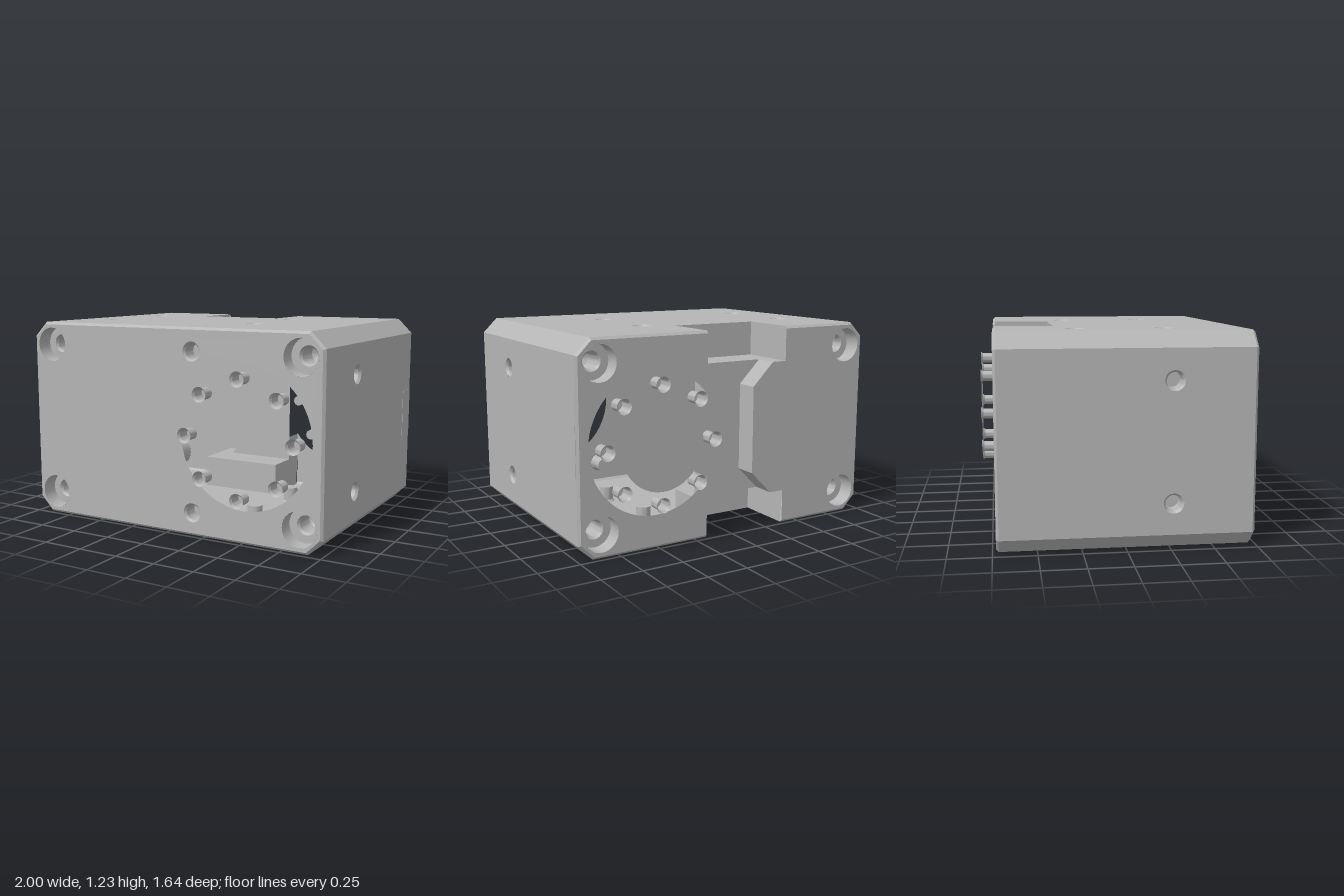
import * as THREE from 'three';
import { toCreasedNormals } from 'three/addons/utils/BufferGeometryUtils.js';

const H = 1.23, Z = 0.73, ZB = 0.715;      // height, half depth, depth at edge bevel
const HUB = { x: 0.515, y: 0.617, r: 0.42 };
const N0 = -0.39, N1 = 0.17, NZ = -0.37, PZ = -0.59;   // rear notch limits
const LEDGE = 1.02;
const flip = y => H - y;

export function createModel() {
  const model = new THREE.Group();
  const metal = new THREE.MeshStandardMaterial({ color: 0xb5b5b5, side: THREE.DoubleSide });
  metal.name = 'grey metal';

  const add = (name, geo) => {
    const mesh = new THREE.Mesh(geo, metal);
    mesh.name = name;
    model.add(mesh);
    return mesh;
  };

  // flat panel: 2D shape with round holes [u, v, r], placed by a mapping to 3D
  const panel = (name, shape, holes, map) => {
    if (Array.isArray(shape)) shape = new THREE.Shape(shape.map(p => new THREE.Vector2(...p)));
    for (const [u, v, r] of holes) {
      const hole = new THREE.Path();
      hole.absarc(u, v, r, 0, Math.PI * 2, true);
      shape.holes.push(hole);
    }
    const geo = new THREE.ShapeGeometry(shape, 24);
    const pos = geo.attributes.position;
    for (let i = 0; i < pos.count; i++) pos.setXYZ(i, ...map(pos.getX(i), pos.getY(i)));
    // keep the front side outward
    geo.computeVertexNormals();
    return add(name, geo);
  };

  const quad = (name, a, b, c, d) => {
    const geo = new THREE.BufferGeometry();
    geo.setAttribute('position', new THREE.Float32BufferAttribute([a, b, c, a, c, d].flat(), 3));
    geo.computeVertexNormals();
    return add(name, geo);
  };

  // blind hole sunk along -normal; profile is [radius, depth] from the rim
  const sink = (name, profile, at, normal) => {
    const pts = profile.map(([r, d]) => new THREE.Vector2(r, -d));
    const mesh = add(name, toCreasedNormals(new THREE.LatheGeometry(pts, 28), 0.5));
    mesh.position.set(...at);
    mesh.quaternion.setFromUnitVectors(new THREE.Vector3(0, 1, 0), new THREE.Vector3(...normal));
  };
  const threaded = [[0.058, 0], [0.046, 0.014], [0.046, 0.1], [0, 0.1]];
  const hornHole = [[0.045, 0], [0.034, 0.014], [0.034, 0.09], [0, 0.09]];
  const counterbore = [[0.105, 0], [0.105, 0.1], [0.058, 0.1], [0.046, 0.115], [0.046, 0.24], [0, 0.27]];

  // octagonal outlines: full section and the bevelled end face
  const octagon = (x, y0, y1, cx, cy) => [
    [cx, y1], [x, y1 - cy], [x, y0 + cy], [cx, y0], [-cx, y0], [-x, y0 + cy], [-x, y1 - cy], [-cx, y1]];
  const outer = octagon(1, 0, H, 0.91, 0.09);
  const inner = octagon(0.985, 0.015, H - 0.015, 0.904, 0.081);

  // top and bottom walls with the rear notch
  const topOutline = [[-0.91, ZB], [0.91, ZB], [0.91, -ZB], [N1, -ZB], [N1, NZ], [N0, NZ], [N0, -ZB], [-0.91, -ZB]];
  const topHoles = [-0.69, 0.34].flatMap(x => [-0.26, 0.26].map(z => [x, z]));
  const holed = list => list.map(([u, v]) => [u, v, 0.058]);
  panel('topWall', topOutline, holed(topHoles), (x, z) => [x, H, z]);
  panel('bottomWall', topOutline, holed(topHoles), (x, z) => [x, 0, z]);
  for (const [x, z] of topHoles) {
    sink('topThreadedHole', threaded, [x, H, z], [0, 1, 0]);
    sink('bottomThreadedHole', threaded, [x, 0, z], [0, -1, 0]);
  }

  // side walls
  const sideOutline = [[-ZB, 0.09], [ZB, 0.09], [ZB, H - 0.09], [-ZB, H - 0.09]];
  const sideHoles = [[0.26, 0.27], [0.26, 0.96]];
  for (const s of [-1, 1]) {
    panel(s > 0 ? 'leftWall' : 'rightWall', sideOutline, holed(sideHoles), (z, y) => [s, y, z]);
    for (const [z, y] of sideHoles) sink('sideThreadedHole', threaded, [s, y, z], [s, 0, 0]);
  }

  // long corner chamfers and end bevels
  for (let i = 0; i < 8; i++) {
    const a = outer[i], b = outer[(i + 1) % 8], c = inner[i], d = inner[(i + 1) % 8];
    if (i % 2 === 0) quad('cornerChamfer', [...a, -ZB], [...b, -ZB], [...b, ZB], [...a, ZB]);
    quad('frontBevel', [...a, ZB], [...b, ZB], [...d, Z], [...c, Z]);
    if (i === 3 || i === 7) {
      // broken by the notch
      const s = i === 3 ? 1 : -1;
      const near = s > 0 ? N1 : N0, far = s > 0 ? N0 : N1;
      quad('rearBevel', [...a, -ZB], [near, a[1], -ZB], [near, c[1], -Z], [...c, -Z]);
      quad('rearBevel', [far, a[1], -ZB], [...b, -ZB], [...d, -Z], [far, c[1], -Z]);
    } else {
      quad('rearBevel', [...a, -ZB], [...b, -ZB], [...d, -Z], [...c, -Z]);
    }
  }

  // front plate with the hub opening
  const boltY = [0.14, 1.09];
  const bores = s => boltY.map(y => [s * 0.86, y, 0.105]);
  panel('frontPlate', inner,
    [...bores(1), ...bores(-1), ...boltY.map(y => [0.17, y, 0.058]), [HUB.x, HUB.y, HUB.r]],
    (x, y) => [x, y, Z]);
  for (const y of boltY) {
    sink('frontThreadedHole', threaded, [0.17, y, Z], [0, 0, 1]);
    for (const s of [-1, 1]) for (const e of [-1, 1])
      sink('counterbore', counterbore, [s * 0.86, y, e * Z], [0, 0, e]);
  }

  // rear plate, hub side: the opening breaks into the notch
  const dx = HUB.x - N1, dy = Math.sqrt(HUB.r ** 2 - dx ** 2);
  const cut = Math.PI - Math.atan2(dy, dx);
  const hubPlate = new THREE.Shape();
  hubPlate.moveTo(N1, H - 0.015);
  hubPlate.lineTo(N1, HUB.y + dy);
  hubPlate.absarc(HUB.x, HUB.y, HUB.r, cut, -cut, true);
  hubPlate.lineTo(N1, 0.015);
  for (const i of [3, 2, 1, 0]) hubPlate.lineTo(...inner[i]);
  hubPlate.closePath();
  panel('rearHubPlate', hubPlate, bores(1), (x, y) => [x, y, -Z]);

  // rear plate, far side, with the trapezoid tongue
  const tongue = [[N0, LEDGE], [-0.295, LEDGE], [-0.155, 0.88], [-0.155, flip(0.88)], [-0.295, flip(LEDGE)], [N0, flip(LEDGE)]];
  panel('rearPlate', [[N0, H - 0.015], ...tongue, [N0, 0.015], ...inner.slice(4)], bores(-1), (x, y) => [x, y, -Z]);
  for (let i = 0; i < 5; i++) {
    const a = tongue[i], b = tongue[i + 1];
    quad('tongueEdge', [...a, -Z], [...a, PZ], [...b, PZ], [...b, -Z]);
  }

  // notch floor and walls
  panel('notchPlate', [[N1, LEDGE], ...tongue.slice(1, 5), [N1, flip(LEDGE)]], [], (x, y) => [x, y, PZ]);
  for (const m of [y => y, flip]) {
    const l = m(LEDGE), t = m(H), h = m(HUB.y + dy);
    quad('notchLedge', [N0, l, PZ], [N0, l, NZ], [N1, l, NZ], [N1, l, PZ]);
    quad('notchBackWall', [N0, l, NZ], [N1, l, NZ], [N1, t, NZ], [N0, t, NZ]);
    quad('notchSideWall', [N0, l, -Z], [N0, l, NZ], [N0, t, NZ], [N0, t, -ZB]);
    quad('notchSideWall', [N1, l, -Z], [N1, l, NZ], [N1, t, NZ], [N1, t, -ZB]);
    quad('notchHubWall', [N1, h, -Z], [N1, h, PZ], [N1, l, PZ], [N1, l, -Z]);
  }

  // small cover let into the side wall
  const cover = add('sideCover', new THREE.BoxGeometry(0.072, 0.3, 0.135));
  cover.position.set(0.966, 0.615, -0.647);

  // hub face and rings of horn screw sockets
  const disc = add('hubDisc', new THREE.CircleGeometry(0.262, 64));
  disc.position.set(HUB.x, HUB.y, -0.815);
  disc.rotation.y = Math.PI;
  for (const e of [-1, 1]) for (let i = 0; i < 8; i++) {
    const a = i * Math.PI / 4;
    sink('hornScrewSocket', hornHole,
      [HUB.x + 0.343 * Math.cos(a), HUB.y + 0.343 * Math.sin(a), e * 0.818], [0, 0, e]);
  }

  return model;
}
